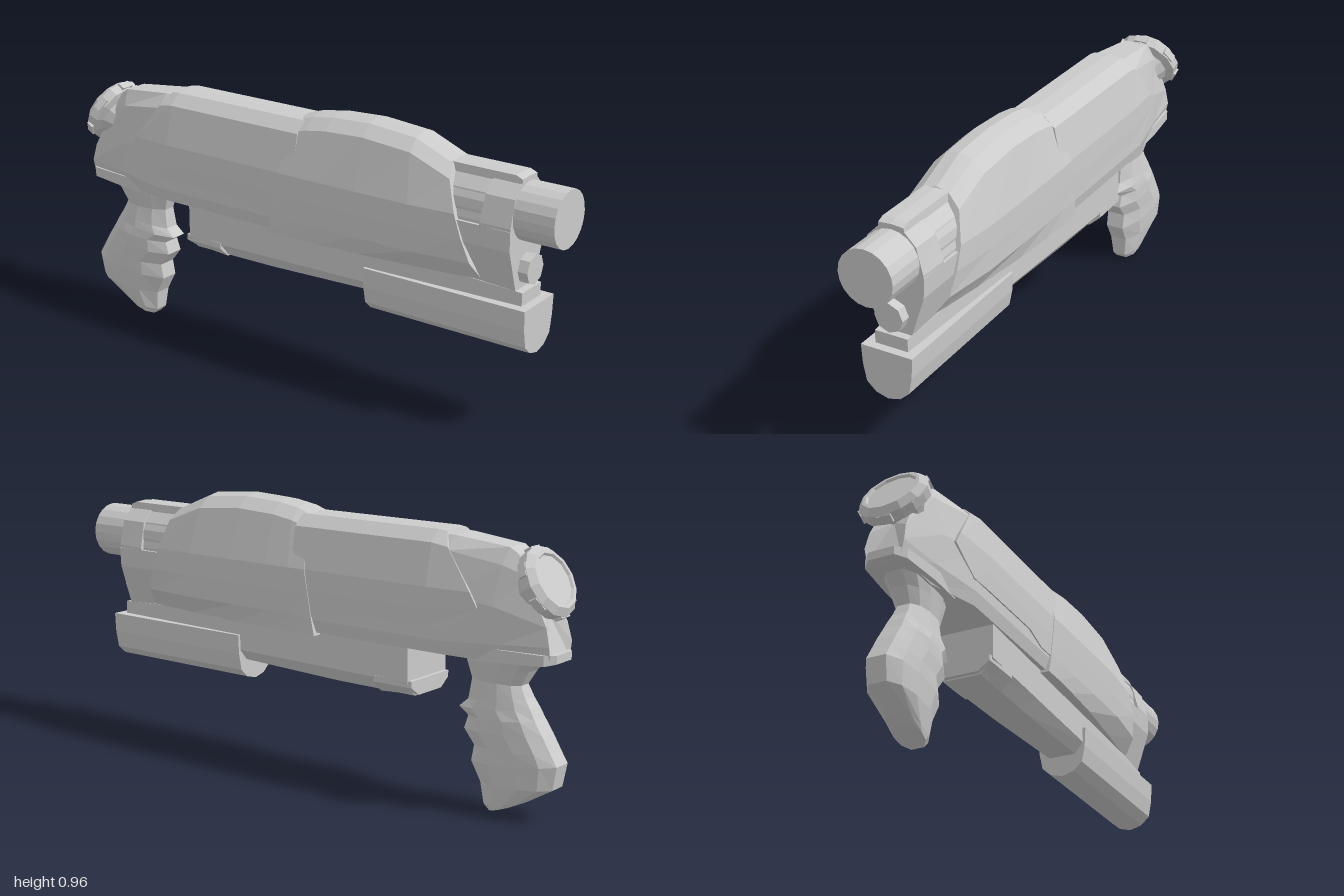
import * as THREE from 'three';

const material = new THREE.MeshStandardMaterial({ color: 0xcccccc, flatShading: true });

// Mirrors a half outline of [x, y, z] points across z = 0 into a closed ring.
function mirrorRing(half) {
  const other = half.filter((p) => p[2] > 0.001).map(([x, y, z]) => [x, y, -z]).reverse();
  return half.concat(other);
}

// Skins a series of half outlines and closes both ends.
function loft(halves) {
  const rings = halves.map(mirrorRing);
  const n = rings[0].length;
  const pos = [];
  const tri = (a, b, c) => pos.push(...a, ...b, ...c);
  for (let i = 0; i < rings.length - 1; i++) {
    for (let j = 0; j < n; j++) {
      const k = (j + 1) % n;
      const a = rings[i][j], b = rings[i][k], c = rings[i + 1][j], d = rings[i + 1][k];
      tri(a, b, c);
      tri(b, d, c);
    }
  }
  const cap = (ring, flip) => {
    const mid = [0, 1, 2].map((q) => ring.reduce((s, p) => s + p[q], 0) / n);
    ring.forEach((p, j) => {
      const next = ring[(j + 1) % n];
      if (flip) tri(mid, next, p);
      else tri(mid, p, next);
    });
  };
  cap(rings[0], true);
  cap(rings[rings.length - 1], false);
  const g = new THREE.BufferGeometry();
  g.setAttribute('position', new THREE.Float32BufferAttribute(pos, 3));
  g.computeVertexNormals();
  return g;
}

// Half outline of [y, z] pairs at x, leaning forward by slant below yTop.
const slice = (x, yz, slant = 0, yTop = 0) => yz.map(([y, z]) => [x + (yTop - y) * slant, y, z]);

export function createModel() {
  const model = new THREE.Group();
  const add = (name, geometry) => {
    const m = new THREE.Mesh(geometry, material);
    m.name = name;
    model.add(m);
    return m;
  };
  const rod = (name, r, x0, x1, y, sides) => {
    const g = new THREE.CylinderGeometry(r, r, x1 - x0, sides);
    g.rotateZ(-Math.PI / 2).translate((x0 + x1) / 2, y, 0);
    return add(name, g);
  };

  // Receiver core, tapering to the sloped back
  const core = [[0.905, 0], [0.905, 0.055], [0.86, 0.095], [0.72, 0.122], [0.57, 0.126], [0.525, 0.115], [0.525, 0]];
  add('receiver', loft([
    [[-0.83, 0.865, 0], [-0.83, 0.865, 0.04], [-0.87, 0.8, 0.055], [-0.95, 0.65, 0.065], [-0.965, 0.59, 0.07], [-0.965, 0.54, 0.06], [-0.965, 0.54, 0]],
    [[-0.8, 0.885, 0], [-0.8, 0.885, 0.045], [-0.79, 0.83, 0.072], [-0.77, 0.7, 0.095], [-0.8, 0.58, 0.09], [-0.8, 0.515, 0.07], [-0.8, 0.515, 0]],
    slice(-0.6, core), slice(-0.3, core), slice(0.1, core),
  ]));

  // Raised outer shell with a pointed rear edge
  const shell = (x, low) => slice(x, [[0.922, 0], [0.918, 0.058], [0.88, 0.1], [0.74, 0.13], [0.67, 0.131], [low, 0.13], [low, 0]]);
  add('rearShell', loft([
    [[-0.57, 0.92, 0], [-0.57, 0.915, 0.055], [-0.6, 0.87, 0.095], [-0.7, 0.74, 0.118], [-0.73, 0.69, 0.118], [-0.62, 0.61, 0.127], [-0.62, 0.61, 0]],
    shell(-0.54, 0.61), shell(-0.23, 0.61), shell(-0.14, 0.58), shell(0.02, 0.58),
  ]));

  // Bulged front cowl: x, lean, top height, and widths that pinch in at the mouth
  const cowl = [
    [-0.01, -0.18, 0.925, 0.133, 0.133, 0.13],
    [0.05, -0.12, 0.945, 0.135, 0.134, 0.13],
    [0.13, -0.03, 0.958, 0.135, 0.134, 0.125],
    [0.28, 0, 0.965, 0.135, 0.134, 0.115],
    [0.46, 0.12, 0.95, 0.133, 0.13, 0.09],
    [0.6, 0.35, 0.892, 0.118, 0.106, 0.06],
  ];
  add('frontCowl', loft(cowl.map(([x, lean, top, wide, low, base]) => slice(x, [
    [top, 0], [top - 0.012, 0.05], [top - 0.05, 0.092], [0.74, wide], [0.66, wide], [0.58, low], [0.515, base], [0.515, 0],
  ], lean, top))));

  // Barrel shroud: slim neck, then a fuller front band
  const shroud = (s) => [[0.87, 0], [0.86, 0.05 * s], [0.82, 0.09 * s], [0.73, 0.113 * s], [0.65, 0.108 * s], [0.505, 0.06], [0.505, 0]];
  add('shroudNeck', loft([slice(0.5, shroud(0.9)), slice(0.78, shroud(0.9))]));
  add('shroudBand', loft([slice(0.745, shroud(1), -0.06, 0.74), slice(0.855, shroud(0.97))]));
  add('shroudLower', loft([0.55, 0.855].map((x) => slice(x, [[0.72, 0], [0.72, 0.112], [0.65, 0.108], [0.505, 0.06], [0.505, 0]]))));
  add('topRail', loft([0.57, 0.83, 0.855].map((x, i) => slice(x, [[0.888 - (i > 1 ? 0.01 : 0), 0], [0.885 - (i > 1 ? 0.01 : 0), 0.045], [0.84, 0.05], [0.84, 0]]))));

  rod('barrel', 0.098, 0.55, 1, 0.763, 20);
  rod('lowerTube', 0.052, 0.78, 0.89, 0.57, 8);

  // Underside frame narrowing towards the front
  const frame = (x, top, w, edge, low) => slice(x, [[top, 0], [top, w], [edge, w], [low, w * 0.6], [low, 0]]);
  add('underFrame', loft([
    frame(-0.46, 0.575, 0.11, 0.405, 0.355), frame(-0.17, 0.575, 0.1, 0.405, 0.355),
    frame(-0.12, 0.54, 0.098, 0.405, 0.355), frame(0.29, 0.54, 0.083, 0.405, 0.365), frame(0.88, 0.505, 0.06, 0.45, 0.42),
  ]));
  add('frameFoot', loft([frame(-0.475, 0.412, 0.106, 0.39, 0.36), frame(-0.32, 0.412, 0.108, 0.39, 0.35)]));

  // Sliding fore grip
  add('foreGrip', loft([0.29, 0.91].map((x) => slice(x, [
    [0.46, 0], [0.46, 0.094], [0.39, 0.09], [0.33, 0.078], [0.3, 0.045], [0.288, 0],
  ]))));

  // Handle sections: back x, y; front x, y; half width
  const handle = [
    [-0.92, 0.54, -0.63, 0.53, 0.07], [-0.87, 0.49, -0.64, 0.49, 0.06],
    [-0.84, 0.44, -0.655, 0.44, 0.05], [-0.86, 0.4, -0.645, 0.37, 0.06],
    [-0.88, 0.37, -0.612, 0.34, 0.066], [-0.9, 0.335, -0.65, 0.315, 0.073],
    [-0.93, 0.29, -0.635, 0.27, 0.075], [-0.96, 0.24, -0.675, 0.22, 0.075],
    [-0.985, 0.2, -0.665, 0.165, 0.075], [-0.97, 0.12, -0.7, 0.1, 0.07],
    [-0.87, 0.06, -0.71, 0.025, 0.054], [-0.83, 0.04, -0.73, 0.004, 0.048],
  ];
  add('handle', loft(handle.map(([bx, by, fx, fy, w]) =>
    [[0, 0.45], [0.25, 0.9], [0.6, 1], [0.85, 0.85], [1, 0.45]].map(([t, s]) =>
      [fx + (bx - fx) * t, fy + (by - fy) * t, w * s]))));

  // Ledge around the back of the receiver
  add('rearLedge', loft([[-0.98, 0.045], [-0.95, 0.075], [-0.8, 0.09], [-0.68, 0.09]].map(([x, w], i) =>
    slice(x, [[0.563, 0], [0.563, w], [0.535 - i * 0.007, w], [0.535 - i * 0.007, 0]]))));

  // Tilted cap on the back
  const capProfile = [[0, -0.07], [0.07, -0.07], [0.09, -0.035], [0.118, -0.025], [0.122, 0.01], [0.1, 0.03], [0.088, 0.03], [0.083, 0.022], [0, 0.022]];
  const cap = add('rearCap', new THREE.LatheGeometry(capProfile.map(([r, y]) => new THREE.Vector2(r, y)), 12));
  cap.position.set(-0.915, 0.78, 0);
  cap.rotation.z = 1.06;
  // Grip lugs around the cap rim
  for (let i = 0; i < 6; i++) {
    const a = (i / 6) * Math.PI * 2;
    const lug = new THREE.Mesh(new THREE.BoxGeometry(0.02, 0.028, 0.05), material);
    lug.name = 'capLug';
    lug.position.set(Math.cos(a) * 0.112, -0.006, -Math.sin(a) * 0.112);
    lug.rotation.y = a;
    cap.add(lug);
  }
  return model;
}
